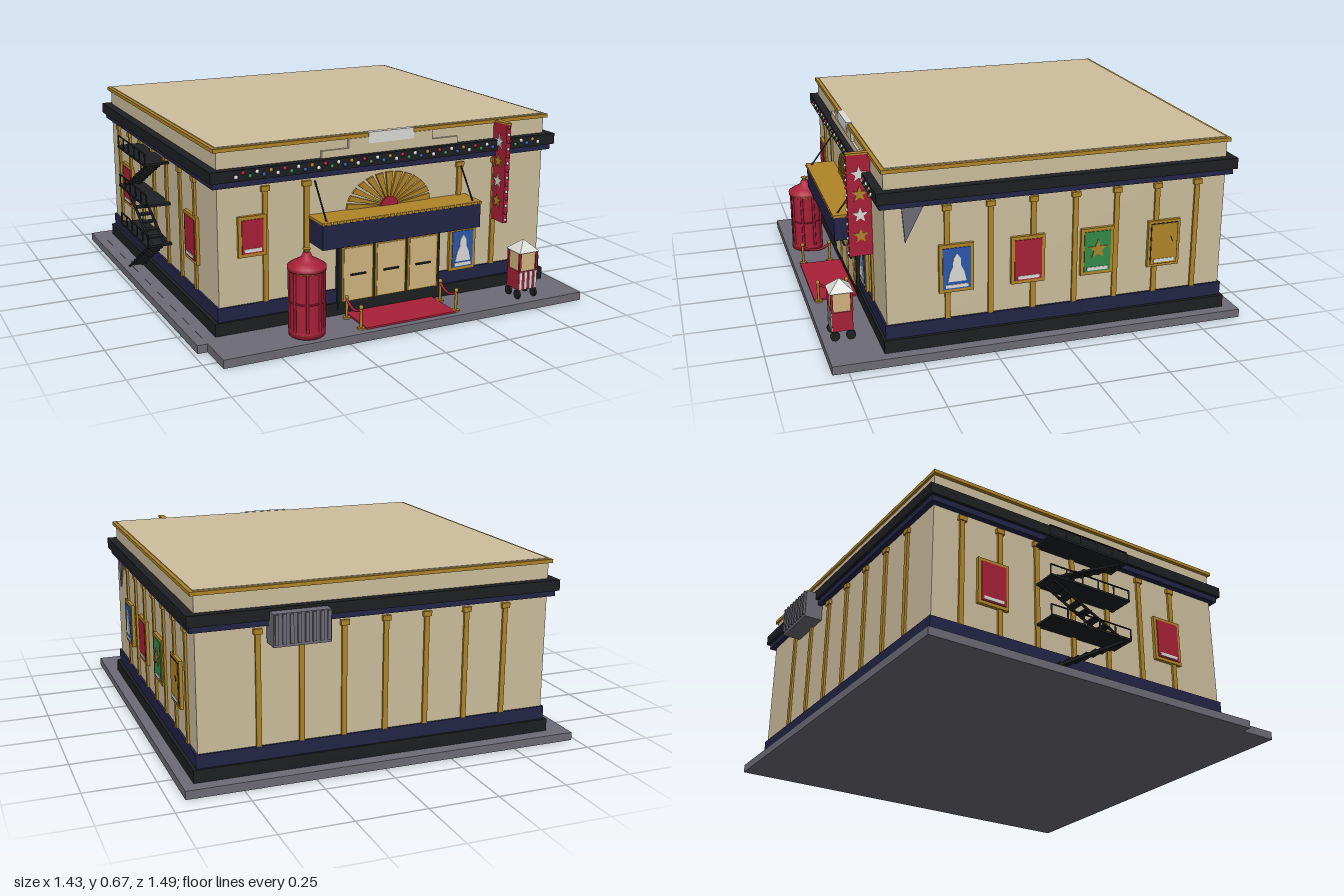
import * as THREE from 'three';

const mat = (name, color) => Object.assign(new THREE.MeshStandardMaterial({ color }), { name });
const M = {
  tan: mat('stucco', 0xcdbe9d), cream: mat('cream', 0xd2b580), gold: mat('gold', 0xb08528),
  navy: mat('navy', 0x232446), black: mat('black', 0x1d1f22), grey: mat('grey', 0x6d6c77),
  red: mat('red', 0xa82038), blue: mat('blue', 0x2d58ac), green: mat('green', 0x338a4c),
  white: mat('white', 0xdcdcd8),
};

function add(parent, name, geo, m, x = 0, y = 0, z = 0) {
  const mesh = new THREE.Mesh(geo, m);
  mesh.name = name;
  mesh.position.set(x, y, z);
  parent.add(mesh);
  return mesh;
}
// Box given by its limits on each axis
function block(parent, name, m, x0, x1, y0, y1, z0, z1) {
  return add(parent, name, new THREE.BoxGeometry(x1 - x0, y1 - y0, z1 - z0), m,
    (x0 + x1) / 2, (y0 + y1) / 2, (z0 + z1) / 2);
}
// Round bar between two points
function bar(parent, name, m, a, b, r = 0.003) {
  const p = new THREE.Vector3(...a), q = new THREE.Vector3(...b);
  const mesh = add(parent, name, new THREE.CylinderGeometry(r, r, p.distanceTo(q), 6), m);
  mesh.position.copy(p).add(q).multiplyScalar(0.5);
  mesh.quaternion.setFromUnitVectors(new THREE.Vector3(0, 1, 0), q.sub(p).normalize());
  return mesh;
}
const poly = pts => new THREE.Shape(pts.map(p => new THREE.Vector2(p[0], p[1])));
const plate = (shape, depth = 0.003) =>
  new THREE.ExtrudeGeometry(shape, { depth, bevelEnabled: false, curveSegments: 16 });
function star(r) {
  return poly(Array.from({ length: 10 }, (_, i) => {
    const a = Math.PI / 2 + i * Math.PI / 5, s = i % 2 ? r * 0.42 : r;
    return [Math.cos(a) * s, Math.sin(a) * s];
  }));
}

// Framed poster facing +z, back at z = 0
function poster(parent, m, w, h, motif) {
  const g = new THREE.Group();
  g.name = 'poster';
  parent.add(g);
  block(g, 'posterFrame', M.gold, -w / 2, w / 2, -h / 2, h / 2, 0, 0.012);
  const a = w / 2 - 0.012, b = h / 2 - 0.012;
  if (m === M.gold) block(g, 'posterRim', M.black, -a - 0.003, a + 0.003, -b - 0.003, b + 0.003, 0.012, 0.0135);
  block(g, 'posterPicture', m, -a, a, -b, b, 0.012, 0.015);
  block(g, 'posterCaption', M.white, -a * 0.8, a * 0.8, -b + 0.005, -b + 0.017, 0.015, 0.017);
  if (motif === 'figure') add(g, 'posterFigure', plate(poly([[-0.032, -0.045], [0.032, -0.045],
    [0.024, -0.01], [0.014, 0.01], [0.013, 0.035], [0, 0.055], [-0.013, 0.035], [-0.014, 0.01], [-0.024, -0.01]])),
    M.white, 0, 0, 0.015);
  if (motif === 'star') add(g, 'posterStar', plate(star(0.036)), M.gold, 0, 0.008, 0.015);
  if (motif === 'disc') add(g, 'posterDisc', plate(new THREE.Shape().absarc(0, 0.006, 0.03, 0, 7)), M.black, 0, 0, 0.015);
  return g;
}

export function createModel() {
  const root = new THREE.Group();
  root.name = 'cinema';
  const X = 0.637, Z = 0.607;
  const ring = (name, m, ex, ez, y0, y1) => block(root, name, m, -ex, ex, y0, y1, -ez, ez);

  // Pavement, walls, plinth, cornice and roof
  block(root, 'pavement', M.grey, -0.7, 0.697, 0, 0.03, -0.67, 0.805);
  block(root, 'sidePavement', M.grey, -0.735, -0.7, 0, 0.029, -0.67, 0.66);
  ring('walls', M.tan, X, Z, 0.03, 0.66);
  ring('lowerPlinth', M.black, 0.657, 0.622, 0.03, 0.075);
  ring('upperPlinth', M.navy, 0.645, 0.614, 0.075, 0.123);
  ring('corniceBase', M.navy, 0.658, 0.626, 0.535, 0.556);
  ring('cornice', M.black, 0.669, 0.637, 0.556, 0.595);
  ring('roofTrim', M.gold, 0.65, 0.615, 0.652, 0.665);
  ring('roof', M.tan, 0.637, 0.602, 0.655, 0.668);

  // Pilasters on all four walls
  function pilaster(x, z, side) {
    const w = 0.009, d = 0.008, c = 0.015;
    const [ax, az] = side ? [d, w] : [w, d], [cx, cz] = side ? [d + 0.004, c] : [c, d + 0.004];
    block(root, 'pilaster', M.gold, x - ax, x + ax, 0.123, 0.51, z - az, z + az);
    block(root, 'pilasterCapital', M.gold, x - cx, x + cx, 0.507, 0.525, z - cz, z + cz);
  }
  for (let i = 0; i < 7; i++) {
    const x = -0.47 + i * 0.15, z = 0.4 - i * 0.15;
    if (i < 2 || i > 4) pilaster(x, Z, false);
    pilaster(x, -Z, false);
    pilaster(X, z, true);
    pilaster(-X, z, true);
  }

  // Posters
  const place = (p, x, y, z, ry = 0) => { p.position.set(x, y, z); p.rotation.y = ry; };
  [[M.blue, 'figure'], [M.red, ''], [M.green, 'star'], [M.gold, 'disc']].forEach(([m, motif], i) =>
    place(poster(root, m, 0.12, 0.17, motif), X, 0.303, 0.37 - i * 0.25, Math.PI / 2));
  for (const z of [0.37, -0.38]) place(poster(root, M.red, 0.12, 0.17, ''), -X, 0.303, z, -Math.PI / 2);
  place(poster(root, M.red, 0.1, 0.14, ''), -0.519, 0.36, Z);
  place(poster(root, M.blue, 0.11, 0.16, 'figure'), 0.299, 0.2, Z);

  // Grey corner pennant on the left wall
  const pennant = add(root, 'pennant', plate(poly([[-0.55, 0.535], [-0.54, 0.41], [-0.475, 0.535]]), 0.006), M.grey, X, 0, 0);
  pennant.rotation.y = Math.PI / 2;

  // Stepped pediment above the entrance
  block(root, 'pedimentLower', M.tan, -0.265, 0.265, 0.595, 0.62, 0.6, 0.616);
  block(root, 'pedimentMiddle', M.tan, -0.165, 0.16, 0.62, 0.652, 0.6, 0.618);
  block(root, 'pedimentTop', M.white, -0.09, 0.085, 0.63, 0.669, 0.6, 0.62);

  // Coloured bulbs along the front cornice
  const bulbColours = [M.white, M.red, M.green, M.white, M.blue, M.gold];
  const bulb = new THREE.SphereGeometry(0.007, 8, 6);
  for (let i = 0; i < 49; i++)
    add(root, 'corniceBulb', bulb, bulbColours[i % 6], -0.58 + i * 0.0245, i % 2 ? 0.583 : 0.571, 0.637);

  // Doors
  block(root, 'doorSurround', M.black, -0.207, 0.2, 0.05, 0.287, 0.6, 0.625);
  for (let i = -1; i <= 1; i++) {
    const x = i * 0.13 - 0.003;
    block(root, 'doorFrame', M.gold, x - 0.061, x + 0.061, 0.078, 0.278, 0.62, 0.629);
    block(root, 'door', M.cream, x - 0.054, x + 0.054, 0.083, 0.272, 0.62, 0.632);
    block(root, 'doorHandle', M.black, x - 0.03, x + 0.03, 0.172, 0.178, 0.632, 0.638);
  }
  block(root, 'carpet', M.red, -0.175, 0.175, 0.03, 0.036, 0.62, 0.78);

  // Rope barriers beside the carpet
  for (const x of [-0.19, 0.185]) {
    for (const z of [0.66, 0.765]) {
      add(root, 'barrierPost', new THREE.CylinderGeometry(0.005, 0.005, 0.075, 8), M.gold, x, 0.067, z);
      add(root, 'barrierFoot', new THREE.CylinderGeometry(0.013, 0.013, 0.006, 12), M.gold, x, 0.033, z);
      add(root, 'barrierKnob', new THREE.SphereGeometry(0.008, 8, 6), M.gold, x, 0.107, z);
    }
    const sag = new THREE.QuadraticBezierCurve3(new THREE.Vector3(x, 0.1, 0.66),
      new THREE.Vector3(x, 0.06, 0.712), new THREE.Vector3(x, 0.1, 0.765));
    add(root, 'barrierRope', new THREE.TubeGeometry(sag, 10, 0.005, 6), M.red);
  }

  // Marquee with hanging rods
  block(root, 'marquee', M.navy, -0.309, 0.306, 0.308, 0.394, 0.6, 0.715);
  block(root, 'marqueeTop', M.gold, -0.312, 0.309, 0.394, 0.403, 0.6, 0.718);
  for (const x of [-0.288, 0.283]) bar(root, 'marqueeRod', M.black, [x, 0.52, 0.61], [x, 0.4, 0.7]);
  for (let i = 0; i < 26; i++)
    add(root, 'marqueeBulb', new THREE.SphereGeometry(0.005, 6, 4), M.gold, -0.3 + i * 0.0238, 0.398, 0.718);

  // Sunburst over the marquee
  const rays = [];
  for (let i = 0; i < 13; i++) {
    const a = (i + 0.5) * Math.PI / 13, h = 0.085;
    const at = (r, t) => [Math.cos(t) * r, Math.sin(t) * r * 0.73];
    rays.push(poly([at(0.035, a - h), at(0.165, a - h), at(0.165, a + h), at(0.035, a + h)]));
  }
  add(root, 'sunburstRays', plate(rays, 0.008), M.gold, -0.005, 0.4, Z);
  add(root, 'sunburstCentre', plate(new THREE.Shape().absarc(0, 0, 0.034, 0, Math.PI), 0.012), M.red, -0.005, 0.4, Z);

  // Upright blade sign with stars on both faces
  block(root, 'bladeSign', M.red, 0.422, 0.44, 0.298, 0.66, 0.606, 0.688);
  block(root, 'bladeSignCap', M.gold, 0.42, 0.442, 0.658, 0.664, 0.604, 0.69);
  [0.59, 0.52, 0.446, 0.372].forEach((y, i) => {
    for (const s of [1, -1]) {
      const st = add(root, 'signStar', plate(star(0.028)), i % 2 ? M.gold : M.white, 0.431 + s * 0.009, y, 0.647);
      st.rotation.y = s * Math.PI / 2;
    }
  });
  for (let i = 0; i < 14; i++)
    add(root, 'signBulb', new THREE.SphereGeometry(0.006, 6, 4), i % 2 ? M.red : M.white, 0.431, 0.31 + i * 0.026, 0.689);

  // Round ticket booth
  const booth = new THREE.Group();
  booth.name = 'ticketBooth';
  booth.position.set(-0.37, 0.03, 0.72);
  root.add(booth);
  const profile = [[0, 0], [0.062, 0], [0.062, 0.02], [0.057, 0.022], [0.057, 0.225], [0.065, 0.228],
    [0.065, 0.242], [0.045, 0.255], [0.02, 0.268], [0.012, 0.285], [0, 0.285]];
  add(booth, 'boothBody', new THREE.LatheGeometry(profile.map(p => new THREE.Vector2(...p)), 20), M.red);
  for (let i = 0; i < 8; i++) {
    const a = (i + 0.5) * Math.PI / 4;
    add(booth, 'boothRib', new THREE.CylinderGeometry(0.005, 0.005, 0.205, 6), M.red, Math.cos(a) * 0.058, 0.123, Math.sin(a) * 0.058);
  }
  for (const y of [0.12, 0.226]) {
    const band = add(booth, 'boothBand', new THREE.TorusGeometry(0.058, 0.003, 6, 20), y > 0.2 ? M.gold : M.red, 0, y, 0);
    band.rotation.x = Math.PI / 2;
  }
  add(booth, 'boothFinial', new THREE.CylinderGeometry(0.014, 0.006, 0.014, 10), M.gold, 0, 0.291, 0);

  // Striped snack cart
  const cart = new THREE.Group();
  cart.name = 'snackCart';
  cart.position.set(0.482, 0, 0.735);
  root.add(cart);
  block(cart, 'cartBody', M.red, -0.038, 0.038, 0.065, 0.135, -0.036, 0.036);
  for (let i = 0; i < 4; i++) {
    const x = -0.032 + i * 0.0215;
    block(cart, 'cartStripe', M.white, x - 0.005, x + 0.005, 0.067, 0.133, 0.036, 0.039);
  }
  block(cart, 'cartCabinet', M.cream, -0.034, 0.034, 0.135, 0.205, -0.033, 0.033);
  for (const x of [-0.035, 0.035]) for (const z of [-0.034, 0.034]) {
    block(cart, 'cartCorner', M.red, x - 0.004, x + 0.004, 0.135, 0.207, z - 0.004, z + 0.004);
    const wheel = add(cart, 'cartWheel', new THREE.CylinderGeometry(0.017, 0.017, 0.008, 12), M.black, x, 0.048, z * 0.8);
    wheel.rotation.z = Math.PI / 2;
  }
  const cap = new THREE.ConeGeometry(0.06, 0.04, 4, 1).toNonIndexed();
  cap.computeVertexNormals();
  add(cart, 'cartRoof', cap, M.white, 0, 0.225, 0).rotation.y = Math.PI / 4;

  // Ventilation unit on the back wall
  block(root, 'ventUnit', M.grey, 0.2, 0.398, 0.475, 0.585, -0.675, -0.6);
  for (let i = 0; i < 8; i++) {
    const x = 0.21 + i * 0.0254;
    block(root, 'ventFin', M.grey, x - 0.006, x + 0.006, 0.485, 0.583, -0.682, -0.67);
  }

  // Fire escape: landings, rails and zigzag flights on the right wall
  const z0 = -0.205, z1 = 0.13, xo = -0.727;
  [0.205, 0.357, 0.51].forEach((y, i) => {
    block(root, 'landing', M.black, -0.732, -0.637, y - 0.004, y + 0.004, z0, z1);
    bar(root, 'landingRail', M.black, [xo, y + 0.042, z0], [xo, y + 0.042, z1]);
    for (let k = 0; k < 6; k++) {
      const z = z0 + (z1 - z0) * k / 5;
      bar(root, 'railPost', M.black, [xo, y, z], [xo, y + 0.042, z]);
    }
    const low = i ? y - 0.152 : 0.03, s = i % 2 ? -1 : 1, mid = -0.037;
    for (const x of [-0.71, -0.66]) bar(root, 'stairStringer', M.black, [x, low, mid - s * 0.15], [x, y, mid + s * 0.15], 0.005);
    for (let k = 1; k < 8; k++) {
      const t = k / 8, yy = low + (y - low) * t, zz = mid + s * (0.3 * t - 0.15);
      block(root, 'stairTread', M.black, -0.71, -0.66, yy - 0.003, yy + 0.003, zz - 0.015, zz + 0.015);
    }
  });
  return root;
}
